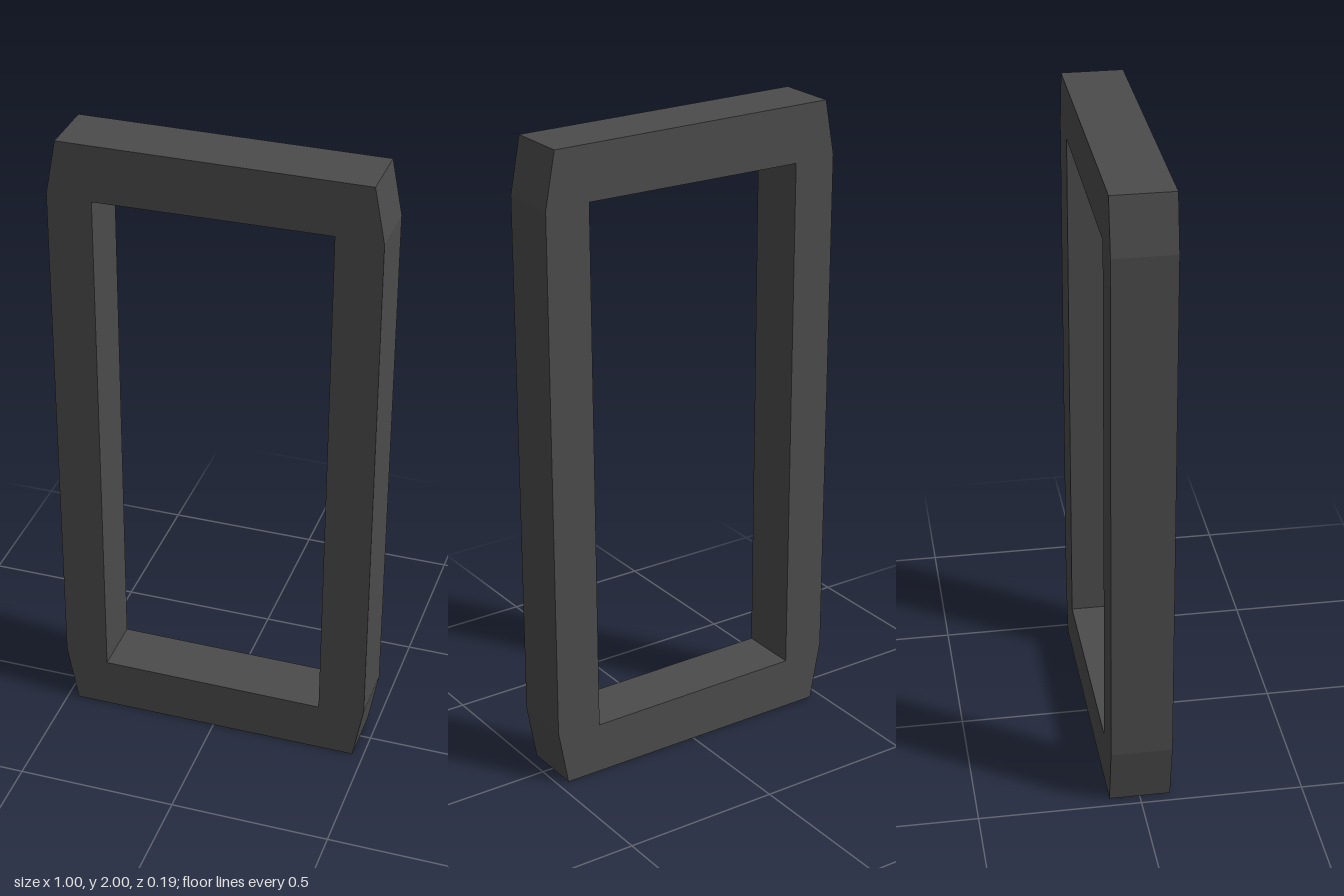
import * as THREE from 'three';

export function createModel() {
  const model = new THREE.Group();
  const charcoal = new THREE.MeshStandardMaterial({ color: 0x4b4b4b });
  charcoal.name = 'charcoal';
  const points = (list) => list.map(([x, y]) => new THREE.Vector2(x, y));

  // Tall outline with four narrow sloped corners
  const outline = new THREE.Shape(points([
    [-0.465, 0], [0.465, 0], [0.497, 0.18], [0.5, 1.83],
    [0.468, 2], [-0.468, 2], [-0.5, 1.83], [-0.5, 0.19],
  ]));

  // Slightly uneven window opening
  outline.holes.push(new THREE.Path(points([
    [-0.362, 0.165], [-0.362, 1.824], [0.358, 1.832], [0.35, 0.162],
  ])));

  const depth = 0.188;
  const geometry = new THREE.ExtrudeGeometry(outline, { depth, bevelEnabled: false });
  geometry.translate(0, 0, -depth / 2);

  const frame = new THREE.Mesh(geometry, charcoal);
  frame.name = 'frame';
  model.add(frame);
  return model;
}
